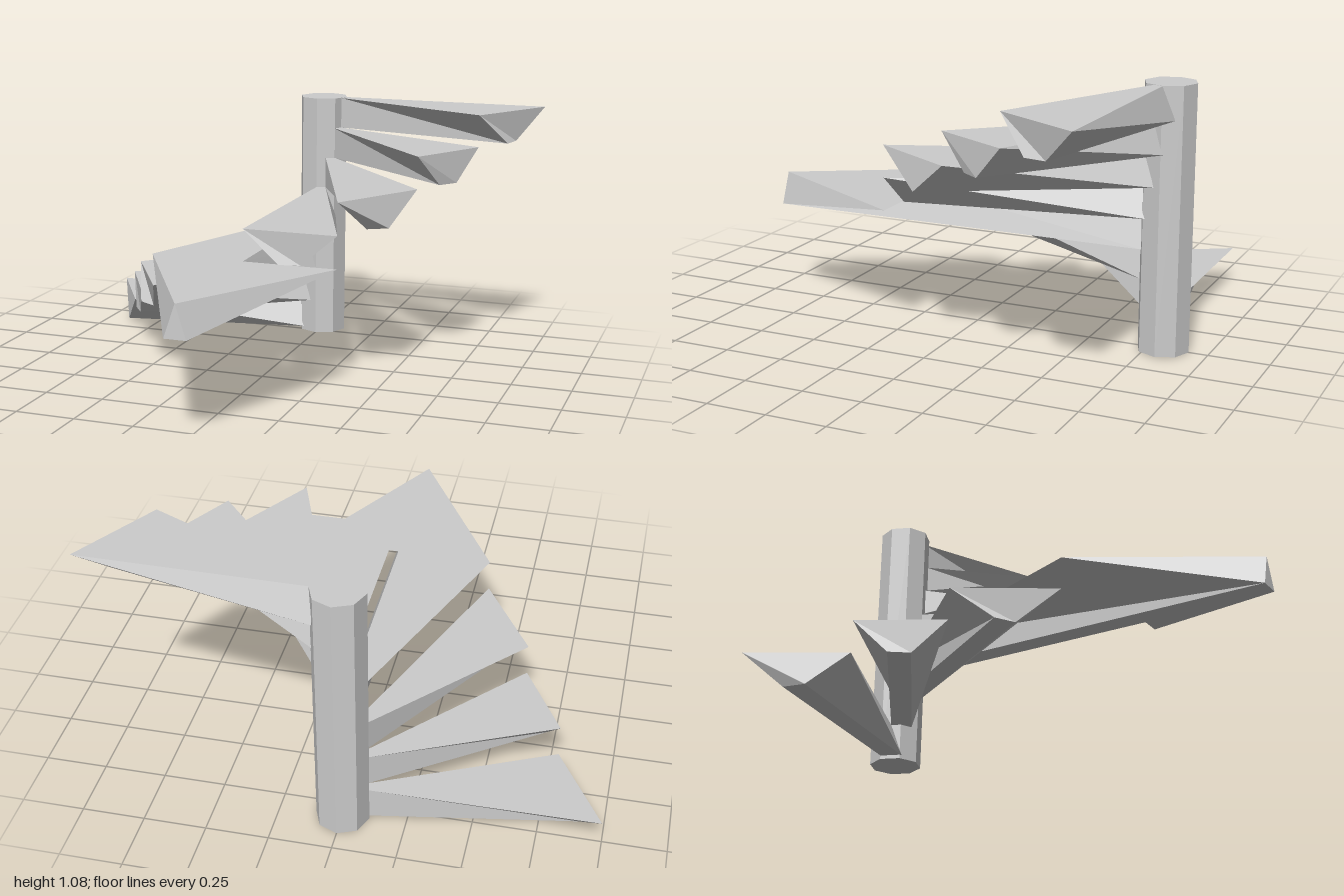
import * as THREE from 'three';

const CZ = -0.815;      // column centre in z
const RISE = 0.133;     // height of one step
const STEP = Math.PI / 8;

// Point on the column's surface; the angle runs from -x by way of +z to +x
const onColumn = (angle, y) => [-0.1 * Math.cos(angle), y, CZ + 0.1 * Math.sin(angle)];

// Wedge tread: wide top and a narrow strip below.
// outer: outer top corners [x, z]; tip: index of the corner above the strip's first side
function treadGeometry(k, outer, tip, centre) {
  const y0 = 0.015 + k * RISE, y1 = y0 + RISE, angle = k * STEP;
  const top = outer.map(([x, z]) => [x, y1, z]);
  const a = onColumn(angle, y1), b = onColumn(angle + STEP, y1);
  const i0 = onColumn(angle, y0), i1 = onColumn(angle + 0.9, y0);

  // Outer end of the strip, square to its direction
  const dx = centre[0], dz = centre[1] - CZ, s = 0.045 / Math.hypot(dx, dz);
  const o0 = [centre[0] - dz * s, y0, centre[1] + dx * s];
  const o1 = [centre[0] + dz * s, y0, centre[1] - dx * s];

  const pos = [];
  const tri = (...corners) => corners.forEach((c) => pos.push(...c));
  const ring = [a, ...top, b], n = ring.length, apex = tip + 1;

  // Top, fanned from the tip corner
  for (let i = 1; i < n - 1; i++) tri(ring[apex], ring[(apex + i) % n], ring[(apex + i + 1) % n]);
  // Underside
  tri(i0, i1, o1);
  tri(i0, o1, o0);
  // Outer end
  top.slice(0, -1).forEach((p, i) => tri(i < tip ? o0 : o1, top[i + 1], p));
  tri(top[tip], o0, o1);
  // Two long sides and the inner end
  const first = top[0], last = top[top.length - 1];
  tri(a, i0, o0);
  tri(a, o0, first);
  tri(last, o1, i1);
  tri(last, i1, b);
  tri(b, i1, i0);
  tri(b, i0, a);

  const g = new THREE.BufferGeometry();
  g.setAttribute('position', new THREE.Float32BufferAttribute(pos, 3));
  g.computeVertexNormals();
  return g;
}

export function createModel() {
  const group = new THREE.Group();
  const material = new THREE.MeshStandardMaterial({ color: 0xcccccc, flatShading: true });
  const add = (name, geometry) => {
    const mesh = new THREE.Mesh(geometry, material);
    mesh.name = name;
    group.add(mesh);
    return mesh;
  };

  // Eight-sided central column
  add('column', new THREE.CylinderGeometry(0.106, 0.106, 1.08, 8)).position.set(0, 0.54, CZ);

  // Outer top corners along one side, mirrored for the other
  const rim = [[-0.998, -0.807], [-0.79, -0.455], [-0.613, -0.14], [-0.392, 0.225]];
  const mirrored = rim.map(([x, z]) => [-x, z]).reverse();
  const inner = [0, 0.225];
  const edges = [
    [rim[0], rim[1]], [rim[1], rim[2]], [rim[2], rim[3]],
    [rim[3], [0, 0.91], mirrored[0], inner],   // long pointed landing
    [inner, mirrored[0]],
    [mirrored[0], mirrored[1]], [mirrored[1], mirrored[2]], [mirrored[2], mirrored[3]],
  ];

  // Treads climbing round the column
  edges.forEach((outer, k) => {
    const pointed = outer.length > 2;
    const centre = pointed ? [0, 0.915]
      : [(outer[0][0] + outer[1][0]) / 2, (outer[0][1] + outer[1][1]) / 2];
    add(pointed ? 'landing' : `tread${k + 1}`, treadGeometry(k, outer, pointed ? 1 : 0, centre));
  });
  return group;
}
